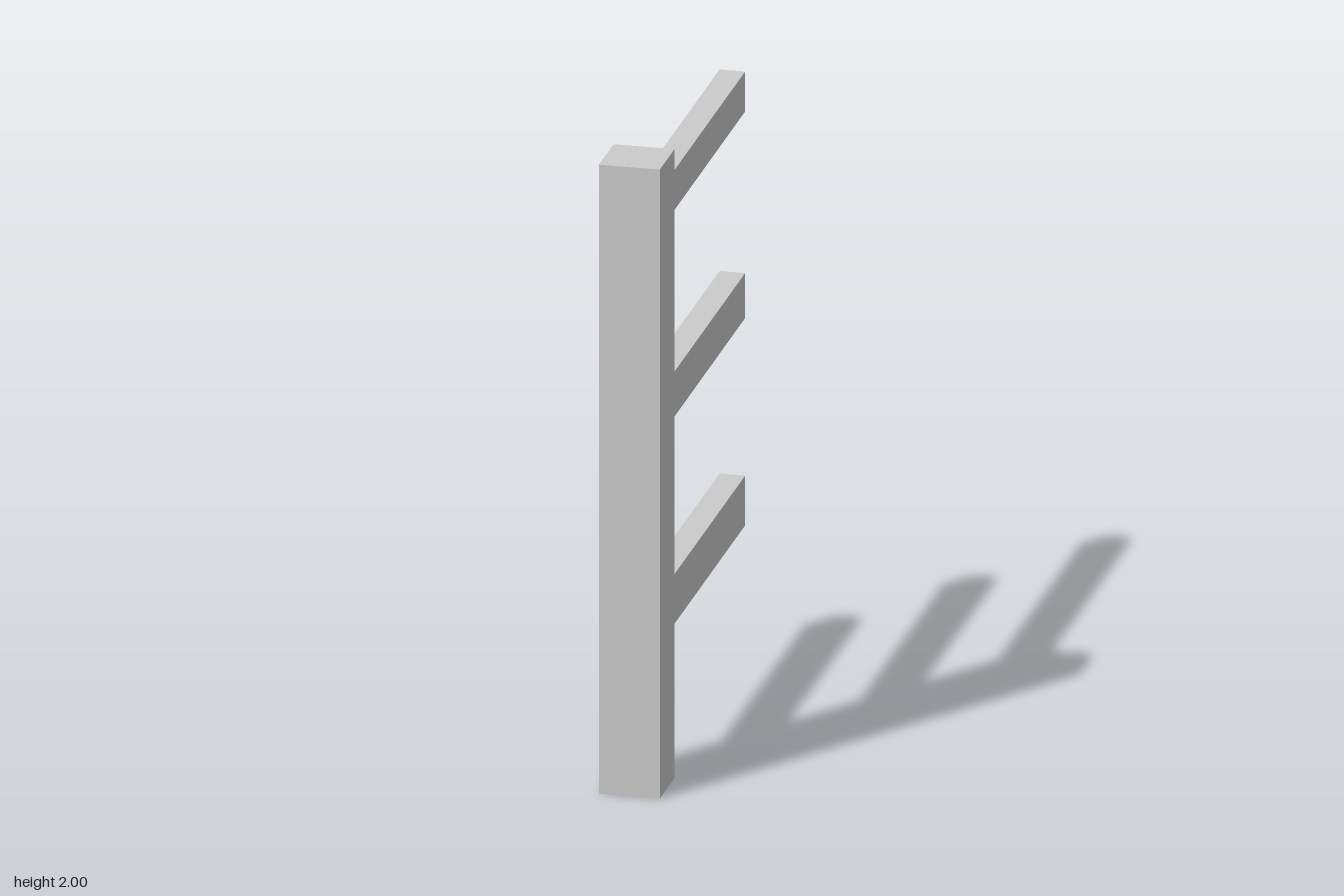
import * as THREE from 'three';

export function createModel() {
  const group = new THREE.Group();
  const material = new THREE.MeshStandardMaterial({ color: 0xcccccc, flatShading: true });

  // Box given by its lower and upper corners
  function addBox(name, [x0, y0, z0], [x1, y1, z1]) {
    const mesh = new THREE.Mesh(new THREE.BoxGeometry(x1 - x0, y1 - y0, z1 - z0), material);
    mesh.position.set((x0 + x1) / 2, (y0 + y1) / 2, (z0 + z1) / 2);
    mesh.name = name;
    group.add(mesh);
  }

  // Square upright post at the front
  const postBack = 0.477;
  addBox('post', [-0.094, 0, postBack], [0.094, 2, 0.665]);

  // Rails running back from the post, each a little deeper than the one above
  const rails = [
    ['lowerRail', 0.404, 0.562],
    ['middleRail', 1.063, 1.206],
    ['upperRail', 1.72, 1.847],
  ];
  for (const [name, bottom, top] of rails) {
    addBox(name, [-0.042, bottom, -0.665], [0.037, top, postBack]);
  }

  return group;
}
